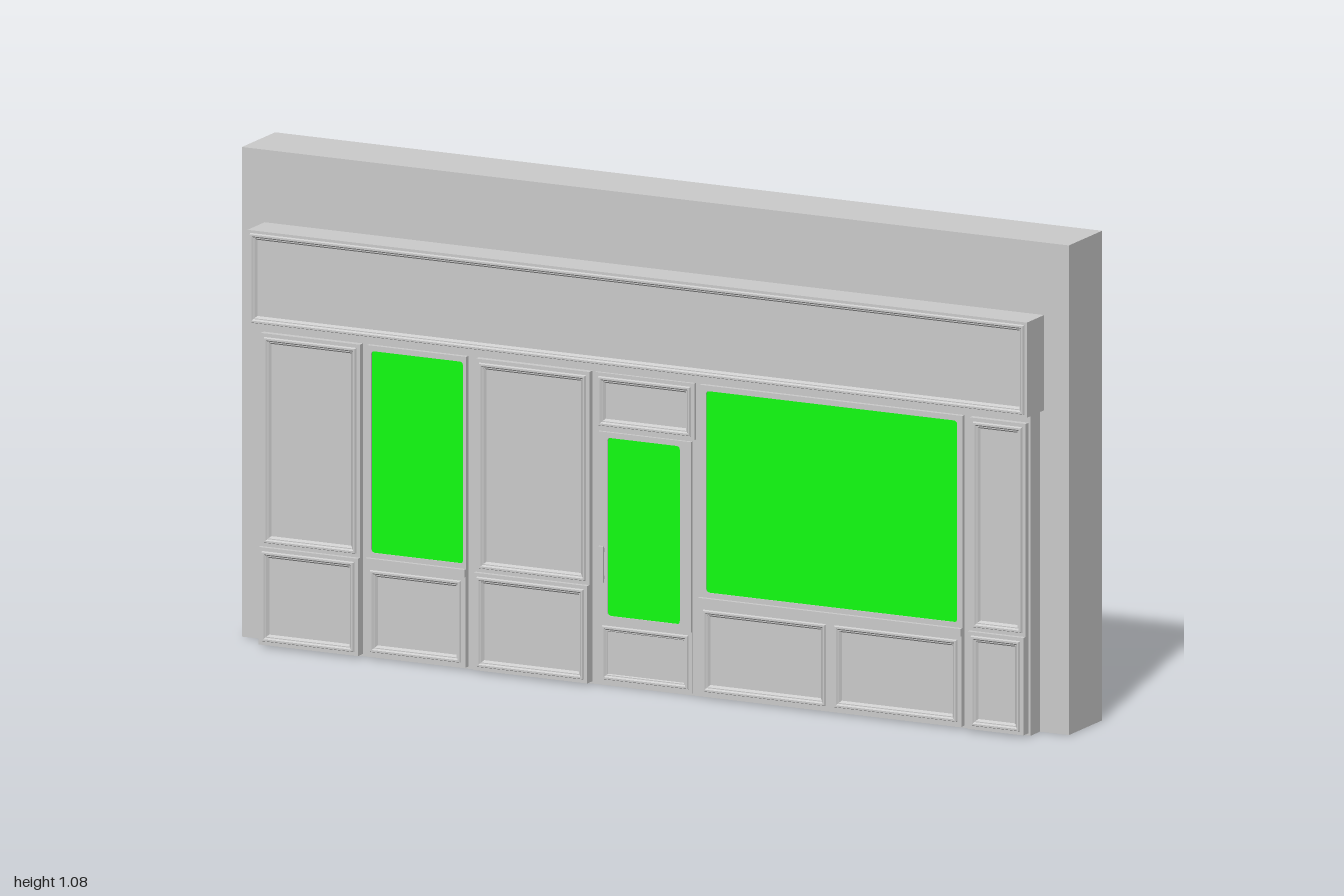
import * as THREE from 'three';

const grey = new THREE.MeshStandardMaterial({ color: 0xcccccc, flatShading: true });
const green = new THREE.MeshStandardMaterial({ color: 0x11ff11 });

const WALL_Z = 0.035;   // front of the wall
const FACADE_Z = 0.078; // front of the timber backing

// Stacked rectangular loops [inset, z] joined with mitred corners, closed by a front face
function steppedPanel(x0, x1, y0, y1, profile) {
  const pos = [];
  const loop = ([i, z]) => [[x0 + i, y0 + i, z], [x1 - i, y0 + i, z], [x1 - i, y1 - i, z], [x0 + i, y1 - i, z]];
  const quad = (a, b, c, d) => pos.push(...a, ...b, ...c, ...a, ...c, ...d);
  const loops = profile.map(loop);
  for (let k = 0; k < loops.length - 1; k++) {
    for (let s = 0; s < 4; s++) {
      const n = (s + 1) % 4;
      quad(loops[k][s], loops[k][n], loops[k + 1][n], loops[k + 1][s]);
    }
  }
  quad(...loops[loops.length - 1]);
  const geo = new THREE.BufferGeometry();
  geo.setAttribute('position', new THREE.Float32BufferAttribute(pos, 3));
  geo.computeVertexNormals();
  return geo;
}

// Raised moulding around a sunken field
const moulded = (back, front, margin = 0.008) => [
  [0, back], [0, front - 0.005], [margin, front - 0.005], [margin + 0.002, front],
  [margin + 0.006, front], [margin + 0.009, front - 0.004],
  [margin + 0.011, front - 0.004], [margin + 0.015, front - 0.011],
];

function roundedRect(target, x0, x1, y0, y1, r) {
  target.moveTo(x0 + r, y0);
  target.lineTo(x1 - r, y0);
  target.quadraticCurveTo(x1, y0, x1, y0 + r);
  target.lineTo(x1, y1 - r);
  target.quadraticCurveTo(x1, y1, x1 - r, y1);
  target.lineTo(x0 + r, y1);
  target.quadraticCurveTo(x0, y1, x0, y1 - r);
  target.lineTo(x0, y0 + r);
  target.quadraticCurveTo(x0, y0, x0 + r, y0);
  return target;
}

export function createModel() {
  const group = new THREE.Group();

  const add = (name, geo, mat = grey) => {
    const mesh = new THREE.Mesh(geo, mat);
    mesh.name = name;
    group.add(mesh);
    return mesh;
  };
  const box = (name, x0, x1, y0, y1, z0, z1) =>
    add(name, new THREE.BoxGeometry(x1 - x0, y1 - y0, z1 - z0)
      .translate((x0 + x1) / 2, (y0 + y1) / 2, (z0 + z1) / 2));
  const panel = (name, x0, x1, y0, y1, front, margin) =>
    add(name, steppedPanel(x0, x1, y0, y1, moulded(FACADE_Z - 0.004, front, margin)));

  // Frame with a rounded opening and a pane set just behind its face
  const glazed = (name, [x0, x1, y0, y1], [gx0, gx1, gy0, gy1], front) => {
    const shape = new THREE.Shape();
    shape.moveTo(x0, y0).lineTo(x1, y0).lineTo(x1, y1).lineTo(x0, y1).closePath();
    shape.holes.push(roundedRect(new THREE.Path(), gx0, gx1, gy0, gy1, 0.008));
    const depth = front - FACADE_Z;
    add(name + 'Frame', new THREE.ExtrudeGeometry(shape, { depth, bevelEnabled: false, curveSegments: 4 })
      .translate(0, 0, FACADE_Z));
    const pane = roundedRect(new THREE.Shape(), gx0, gx1, gy0, gy1, 0.008);
    add(name + 'Glass', new THREE.ShapeGeometry(pane, 4).translate(0, 0, front - 0.003), green);
  };

  // Wall and timber backing
  box('wall', -1, 1, 0, 1.08, -0.12, WALL_Z);
  box('facadeBacking', -0.93, 0.93, 0, 0.71, WALL_Z, FACADE_Z);

  // Sign board with moulded border
  add('signBoard', steppedPanel(-0.945, 0.94, 0.71, 0.92, moulded(WALL_Z, 0.12, 0.006)));
  box('signUnderside', -0.945, 0.94, 0.71, 0.715, WALL_Z, 0.105);

  // Pilasters: tall panel over a deeper plinth panel
  for (const [x0, x1] of [[-0.925, -0.685], [-0.405, -0.13], [0.79, 0.925]]) {
    panel('pilasterPanel', x0, x1, 0.22, 0.69, 0.097);
    panel('pilasterPlinth', x0, x1, 0.005, 0.22, 0.107);
  }

  // Window bays: glazing, sill and stall-riser panels
  const bays = [
    { x0: -0.67, x1: -0.43, gx0: -0.66, gx1: -0.438, splits: 1 },
    { x0: 0.135, x1: 0.77, gx0: 0.15, gx1: 0.757, splits: 2 },
  ];
  for (const { x0, x1, gx0, gx1, splits } of bays) {
    glazed('window', [x0, x1, 0.22, 0.69], [gx0, gx1, 0.233, 0.678], 0.088);
    box('windowSill', x0, x1, 0.205, 0.222, FACADE_Z, 0.097);
    const w = (x1 - x0) / splits;
    for (let i = 0; i < splits; i++) {
      panel('stallRiserPanel', x0 + i * w, x0 + (i + 1) * w, 0.005, 0.206, 0.097, 0.01);
    }
  }

  // Door with transom panel, glass, kick panel and handle
  panel('transomPanel', -0.12, 0.12, 0.565, 0.69, 0.09);
  glazed('door', [-0.113, 0.112, 0.14, 0.56], [-0.09, 0.085, 0.155, 0.548], 0.085);
  panel('doorKickPanel', -0.113, 0.112, 0.005, 0.14, 0.085);
  box('doorHandle', -0.106, -0.094, 0.23, 0.31, 0.093, 0.099);
  for (const y of [0.24, 0.3]) box('handleMount', -0.103, -0.097, y - 0.004, y + 0.004, 0.084, 0.094);

  return group;
}
